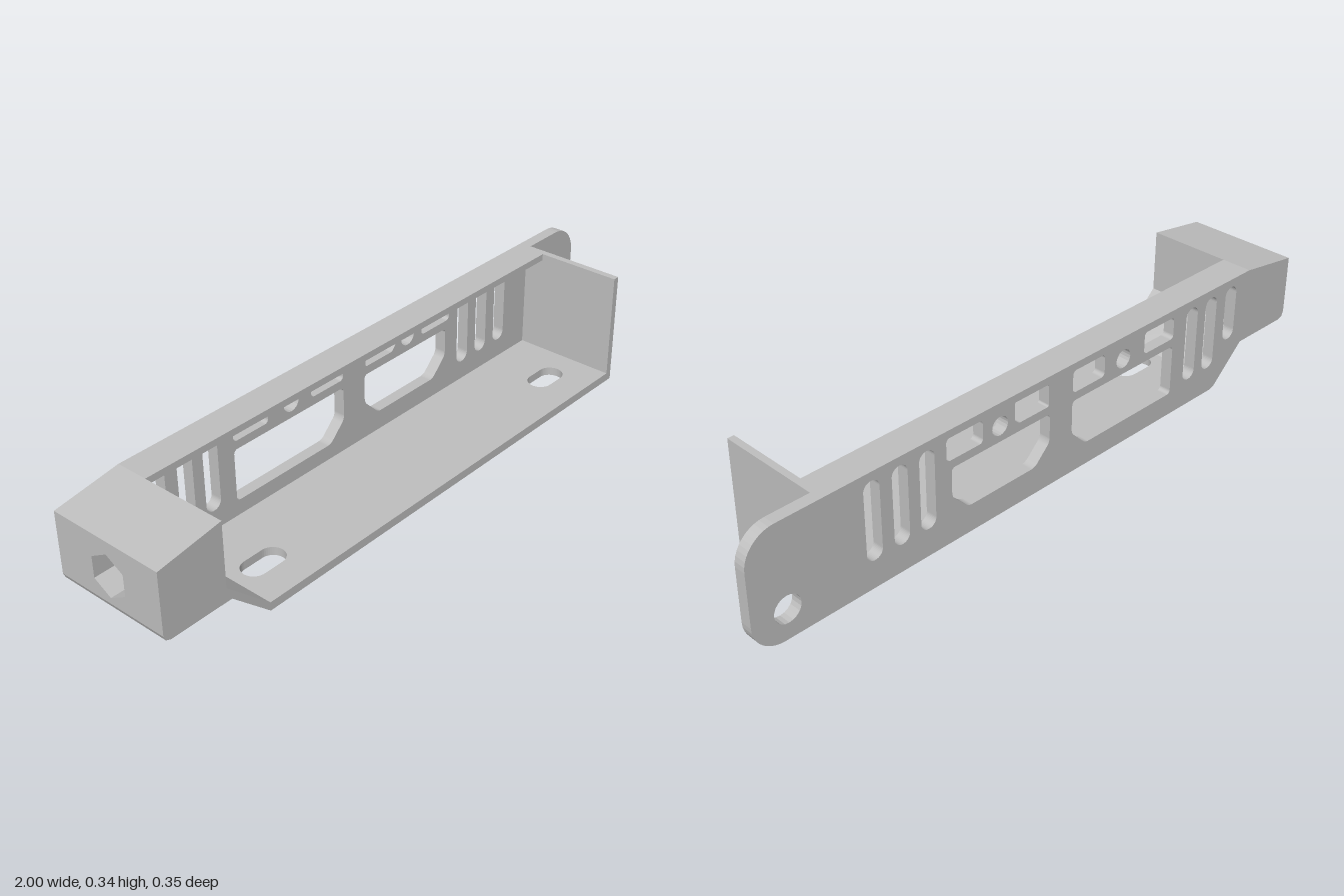
import * as THREE from 'three';

const BACK = -0.175, FRONT = 0.175, PLATE = 0.035;

// Closed path from [x, y, radius] corners, with rounded corners where radius > 0
function roundedPath(points, PathType = THREE.Path) {
  const path = new PathType();
  const n = points.length;
  points.forEach(([x, y, r = 0], i) => {
    const p = new THREE.Vector2(x, y);
    const prev = new THREE.Vector2(...points[(i + n - 1) % n].slice(0, 2));
    const next = new THREE.Vector2(...points[(i + 1) % n].slice(0, 2));
    const toward = (q) => p.clone().add(q.sub(p).normalize().multiplyScalar(r));
    const a = toward(prev), b = toward(next);
    if (i === 0) path.moveTo(a.x, a.y); else path.lineTo(a.x, a.y);
    if (r > 0) {
      // cubic approximation of a circular corner
      const c1 = a.clone().lerp(p, 0.552), c2 = b.clone().lerp(p, 0.552);
      path.bezierCurveTo(c1.x, c1.y, c2.x, c2.y, b.x, b.y);
    }
  });
  path.closePath();
  return path;
}

// Rectangle opening; cl and cr cut the lower left and lower right corners
function opening(x0, x1, y0, y1, cl = 0, cr = 0, r = 0.012) {
  const pts = [];
  if (cl) pts.push([x0, y0 + cl, r], [x0 + cl, y0, r]); else pts.push([x0, y0, r]);
  if (cr) pts.push([x1 - cr, y0, r], [x1, y0 + cr, r]); else pts.push([x1, y0, r]);
  pts.push([x1, y1, r], [x0, y1, r]);
  return roundedPath(pts);
}

// Slot with fully round ends
function slot(x0, x1, y0, y1) {
  const r = Math.min(x1 - x0, y1 - y0) / 2 - 0.0005;
  return opening(x0, x1, y0, y1, 0, 0, r);
}

function circle(x, y, r) {
  return new THREE.Path().absarc(x, y, r, 0, Math.PI * 2, true);
}

function extrude(shape, depth, steps = 1) {
  return new THREE.ExtrudeGeometry(shape, { depth, steps, bevelEnabled: false, curveSegments: 10 });
}

export function createModel() {
  const group = new THREE.Group();
  const grey = new THREE.MeshStandardMaterial({ color: 0xbfbfbf });
  grey.name = 'grey';

  const add = (name, geometry, x = 0, y = 0, z = 0) => {
    const mesh = new THREE.Mesh(geometry, grey);
    mesh.name = name;
    mesh.position.set(x, y, z);
    group.add(mesh);
  };
  const addBox = (name, x0, x1, y0, y1, z0, z1) =>
    add(name, new THREE.BoxGeometry(x1 - x0, y1 - y0, z1 - z0),
      (x0 + x1) / 2, (y0 + y1) / 2, (z0 + z1) / 2);

  // Back panel with the mounting ear
  const panel = roundedPath([
    [-0.85, 0.11], [-0.79, 0.11], [-0.67, 0, 0.015], [1, 0, 0.09],
    [1, 0.34, 0.09], [-0.805, 0.34], [-0.85, 0.333],
  ], THREE.Shape);
  panel.holes.push(slot(-0.75, -0.7, 0.145, 0.315));
  for (const x of [-0.66, -0.575, 0.43, 0.517, 0.605]) panel.holes.push(slot(x, x + 0.05, 0.083, 0.315));
  for (const x of [-0.47, -0.185, 0.267]) panel.holes.push(opening(x, x + 0.124, 0.25, 0.317));
  panel.holes.push(
    opening(0.03, 0.155, 0.25, 0.317, 0, 0.015, 0.006),
    circle(-0.26, 0.272, 0.028), circle(0.207, 0.272, 0.028),
    opening(-0.47, -0.06, 0.07, 0.225, 0, 0.055),
    opening(0.025, 0.375, 0.083, 0.225, 0.055, 0.055),
    circle(0.895, 0.087, 0.04),
  );
  add('backPanel', extrude(panel, PLATE), 0, 0, BACK);

  // Floor with two screw slots
  const floor = roundedPath([[-0.67, BACK + PLATE], [0.76, BACK + PLATE], [0.76, FRONT], [-0.67, FRONT]], THREE.Shape);
  floor.holes.push(slot(-0.635, -0.5, 0.012, 0.085), slot(0.558, 0.685, 0.012, 0.085));
  add('floor', extrude(floor, 0.025).rotateX(Math.PI / 2), 0, 0.025, 0);

  // Side wall and top lip
  addBox('sideWall', 0.76, 0.78, 0, 0.34, BACK + PLATE, FRONT);
  addBox('topLip', -0.805, 0.76, 0.32, 0.34, BACK + PLATE, -0.08);

  // Inner part of the end block with the slanted corner
  const corner = roundedPath([
    [-0.85, 0.11], [-0.79, 0.11], [-0.67, 0], [-0.67, 0.025],
    [-0.805, 0.15], [-0.805, 0.34], [-0.85, 0.333],
  ], THREE.Shape);
  add('slantedCorner', extrude(corner, FRONT - BACK - PLATE), 0, 0, BACK + PLATE);

  // Outer part of the end block with a blind hexagonal socket
  const TOP = 0.34, BOTTOM = 0.11;
  const end = roundedPath([[BACK, BOTTOM], [FRONT, BOTTOM], [FRONT, TOP], [BACK, TOP]], THREE.Shape);
  end.holes.push(roundedPath(Array.from({ length: 6 }, (_, i) => {
    const a = Math.PI / 2 - i * Math.PI / 3;
    return [0.062 * Math.cos(a), 0.21 + 0.062 * Math.sin(a)];
  })));
  const endGeometry = extrude(end, 0.15, 3).rotateY(Math.PI / 2);
  const layers = [0, 0.006, 0.02, 0.15], lift = [0.02, 0.006, 0, 0];
  const pos = endGeometry.attributes.position;
  for (let i = 0; i < pos.count; i++) {
    // round the lower outer edge and slope the top
    const k = Math.round(pos.getX(i) / 0.05);
    const y = pos.getY(i);
    if (Math.abs(y - BOTTOM) < 1e-4) pos.setY(i, BOTTOM + lift[k]);
    if (Math.abs(y - TOP) < 1e-4) pos.setY(i, 0.31 + 0.153 * layers[k]);
    pos.setX(i, layers[k] - 1);
  }
  endGeometry.computeVertexNormals();
  add('endBlock', endGeometry);

  return group;
}
